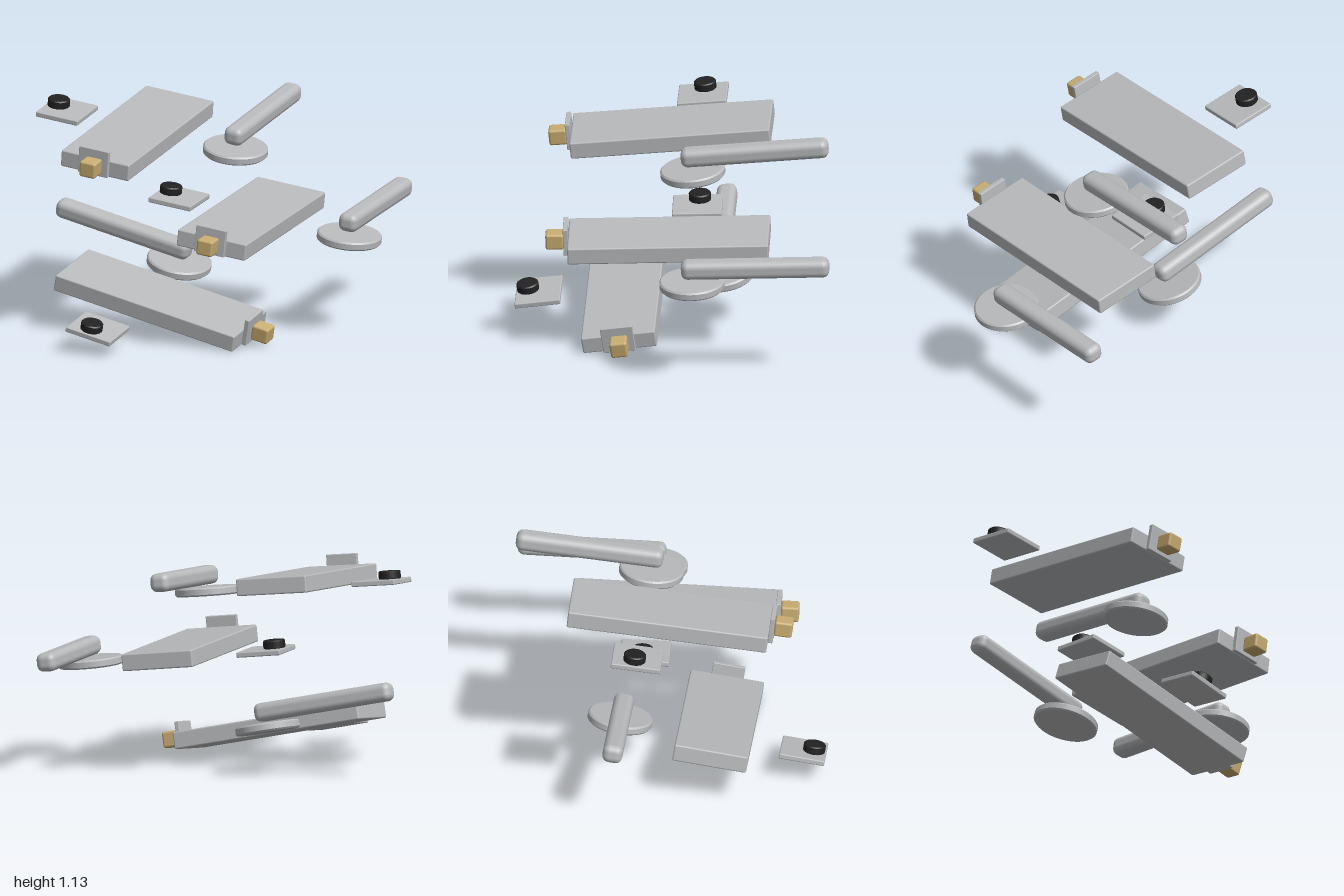
import * as THREE from 'three';
import { RoundedBoxGeometry } from 'three/addons/geometries/RoundedBoxGeometry.js';

const steel = new THREE.MeshStandardMaterial({ name: 'light steel', color: 0xb8babc });
const brass = new THREE.MeshStandardMaterial({ name: 'brass', color: 0xc9ad72 });
const black = new THREE.MeshStandardMaterial({ name: 'black', color: 0x222222 });

function part(parent, name, geometry, material, x, y, z) {
  const mesh = new THREE.Mesh(geometry, material);
  mesh.name = name;
  mesh.position.set(x, y, z);
  parent.add(mesh);
  return mesh;
}

const block = (w, h, d, r, s = 2) => new RoundedBoxGeometry(w, h, d, s, r);

// Flat disc with a softened rim
function disc(radius, height, bevel, sides) {
  const h = height / 2;
  const points = [
    [0, -h], [radius - bevel, -h], [radius - bevel, -h], [radius, -h + bevel], [radius, -h + bevel],
    [radius, h - bevel], [radius, h - bevel], [radius - bevel, h], [radius - bevel, h], [0, h],
  ].map(([x, y]) => new THREE.Vector2(x, y));
  return new THREE.LatheGeometry(points, sides);
}

// One unit; its nose with the brass block faces local +z
function createUnit() {
  const unit = new THREE.Group();
  part(unit, 'body', block(0.39, 0.09, 1.05, 0.008), steel, 0, 0, 0);

  // Nose fittings
  part(unit, 'noseTab', block(0.17, 0.145, 0.025, 0.004), steel, 0, 0.03, 0.537);
  part(unit, 'noseBlock', block(0.09, 0.085, 0.095, 0.012), brass, 0.008, 0.017, 0.596);

  // Disc and long bar on one side
  part(unit, 'disc', disc(0.17, 0.045, 0.008, 48), steel, 0.505, -0.024, -0.135);
  part(unit, 'bar', block(0.105, 0.098, 0.775, 0.036, 3), steel, 0.502, 0.06, -0.468);

  // Small plate with a knob on the other side
  part(unit, 'sidePlate', block(0.24, 0.028, 0.26, 0.006), steel, -0.466, -0.026, -0.133);
  part(unit, 'knob', disc(0.058, 0.046, 0.006, 32), black, -0.52, 0.008, -0.145);
  return unit;
}

export function createModel() {
  const model = new THREE.Group();
  model.name = 'mechanicalUnits';

  // Centre, sideways direction and rearward direction of each unit
  const placements = [
    ['upperUnit', [-0.474, 0.997, -0.168], [0.78, -0.11, 0.615], [0.611, 0.095, -0.786]],
    ['middleUnit', [0.05, 0.602, 0.205], [0.81, -0.115, 0.59], [0.59, 0.03, -0.81]],
    ['lowerUnit', [-0.426, 0.178, 0.162], [0.62, 0.135, -0.776], [-0.776, 0.21, -0.594]],
  ];
  for (const [name, centre, side, rear] of placements) {
    const unit = createUnit();
    unit.name = name;
    const z = new THREE.Vector3(...rear).normalize().negate();
    const y = z.clone().cross(new THREE.Vector3(...side)).normalize();
    const x = y.clone().cross(z);
    unit.quaternion.setFromRotationMatrix(new THREE.Matrix4().makeBasis(x, y, z));
    unit.position.set(...centre);
    model.add(unit);
  }
  return model;
}
